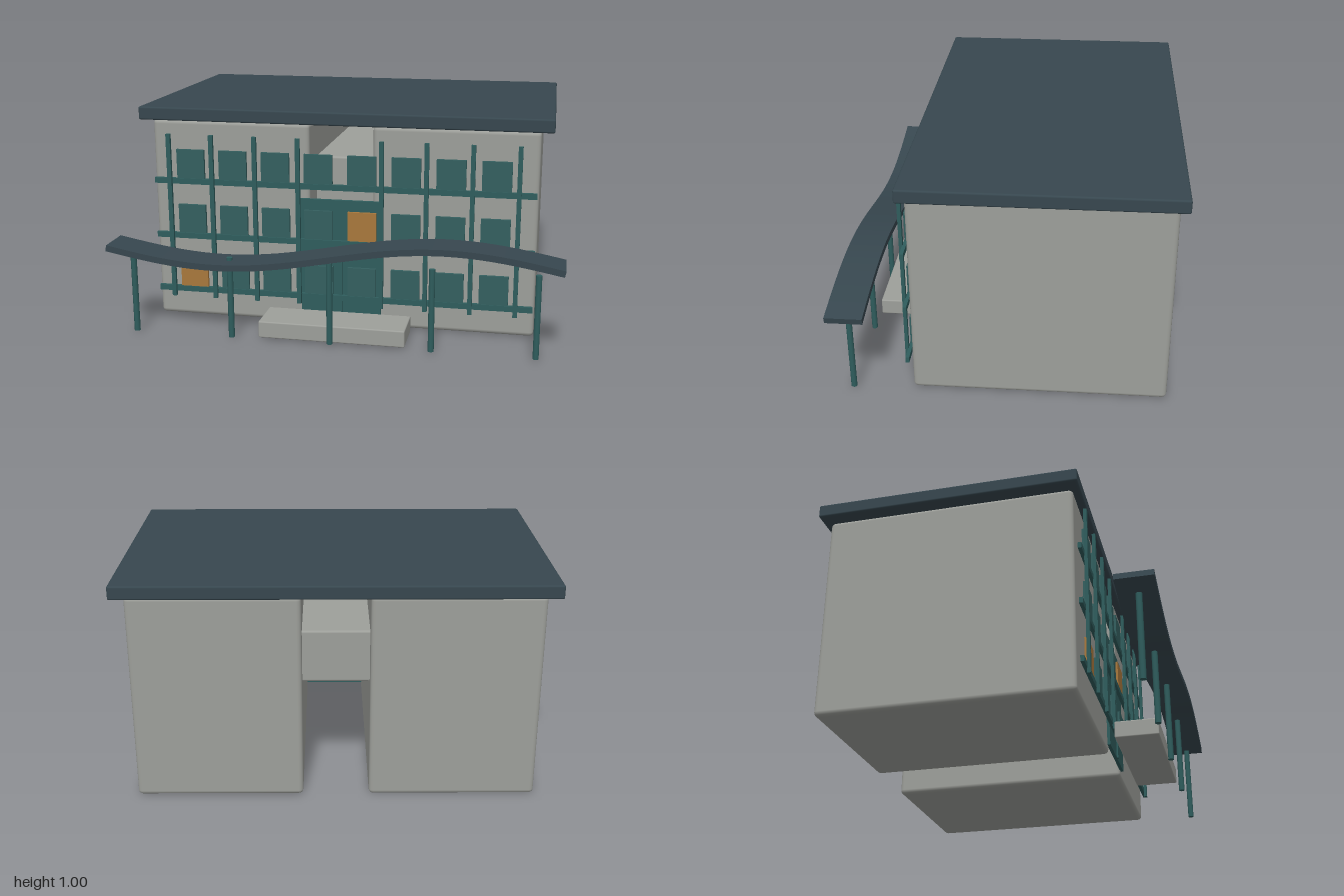
import * as THREE from 'three';
import { RoundedBoxGeometry } from 'three/addons/geometries/RoundedBoxGeometry.js';

const mat = (name, color) => {
  const m = new THREE.MeshStandardMaterial({ color });
  m.name = name;
  return m;
};

export function createModel() {
  const concrete = mat('concrete', 0x9d9f9a);
  const slate = mat('slate', 0x37474f);
  const teal = mat('teal frame', 0x2f5d5d);
  const glass = mat('teal glass', 0x345f5f);
  const amber = mat('amber glass', 0xa8783c);

  const model = new THREE.Group();
  model.name = 'building';
  const add = (name, geometry, material) => {
    const mesh = new THREE.Mesh(geometry, material);
    mesh.name = name;
    model.add(mesh);
    return mesh;
  };
  // Box given by its extents; a radius rounds the edges
  const box = (name, material, [x0, x1], [y0, y1], [z0, z1], radius = 0) => {
    const size = [x1 - x0, y1 - y0, z1 - z0];
    const geometry = radius
      ? new RoundedBoxGeometry(...size, 2, radius)
      : new THREE.BoxGeometry(...size);
    return add(name, geometry, material)
      .position.set((x0 + x1) / 2, (y0 + y1) / 2, (z0 + z1) / 2);
  };
  const cx = -0.005; // centre line of the building

  // Two wings, the bridge between them, and the roof
  box('rightWing', concrete, [-0.882, -0.15], [0.005, 0.94], [-0.7, 0.4], 0.02);
  box('leftWing', concrete, [0.14, 0.872], [0.005, 0.94], [-0.7, 0.4], 0.02);
  box('bridge', concrete, [-0.16, 0.15], [0.53, 0.765], [-0.64, 0.25], 0.01);
  box('roof', slate, [-0.938, 0.928], [0.94, 1], [-0.735, 0.43], 0.008);

  // Entrance wall with its centre post, and the step before it
  box('entrancePanel', teal, [cx - 0.185, cx + 0.185], [0.04, 0.6], [0.398, 0.413]);
  box('doorPost', teal, [cx - 0.01, cx + 0.01], [0.04, 0.39], [0.413, 0.42]);
  box('entranceStep', concrete, [-0.333, 0.325], [0.012, 0.088], [0.455, 0.648], 0.006);

  // Window grid, two panes lit
  [0.222, 0.483, 0.741].forEach((y, row) => {
    for (let col = 0; col < 8; col++) {
      const x = cx + (col - 3.5) * 0.1987;
      const lit = (row === 0 && col === 0) || (row === 1 && col === 4);
      box('window', lit ? amber : glass, [x - 0.065, x + 0.065],
        [y - 0.067, y + 0.067], [0.413, 0.427]);
    }
  });

  // Facade lattice
  for (const y of [0.142, 0.402, 0.661]) {
    box('latticeRail', teal, [-0.873, 0.865], [y - 0.013, y + 0.013], [0.415, 0.431]);
  }
  for (const side of [-1, 1]) {
    for (const d of [0.19, 0.39, 0.592, 0.793]) {
      const x = cx + side * d;
      box('latticeBar', teal, [x - 0.01, x + 0.01], [0.108, 0.88], [0.429, 0.444]);
    }
  }

  // Wavy canopy: ribbon of constant thickness extruded in depth
  const top = [], bottom = [];
  for (let i = 0; i <= 40; i++) {
    const x = -0.995 + (1.99 * i) / 40;
    const y = 0.418 + 0.062 * Math.sin(Math.PI * x);
    const slope = 0.062 * Math.PI * Math.cos(Math.PI * x);
    const n = new THREE.Vector2(-slope, 1).normalize().multiplyScalar(0.014);
    top.push(new THREE.Vector2(x + n.x, y + n.y));
    bottom.unshift(new THREE.Vector2(x - n.x, y - n.y));
  }
  const ribbon = new THREE.Shape([...bottom, ...top]);
  add('canopy', new THREE.ExtrudeGeometry(ribbon, { depth: 0.16, bevelEnabled: false }), slate)
    .position.z = 0.575;

  // Canopy posts
  for (let i = -2; i <= 2; i++) {
    add('canopyPost', new THREE.CylinderGeometry(0.0135, 0.0135, 0.372, 10), teal)
      .position.set(cx + i * 0.447, 0.198, 0.66);
  }

  return model;
}
